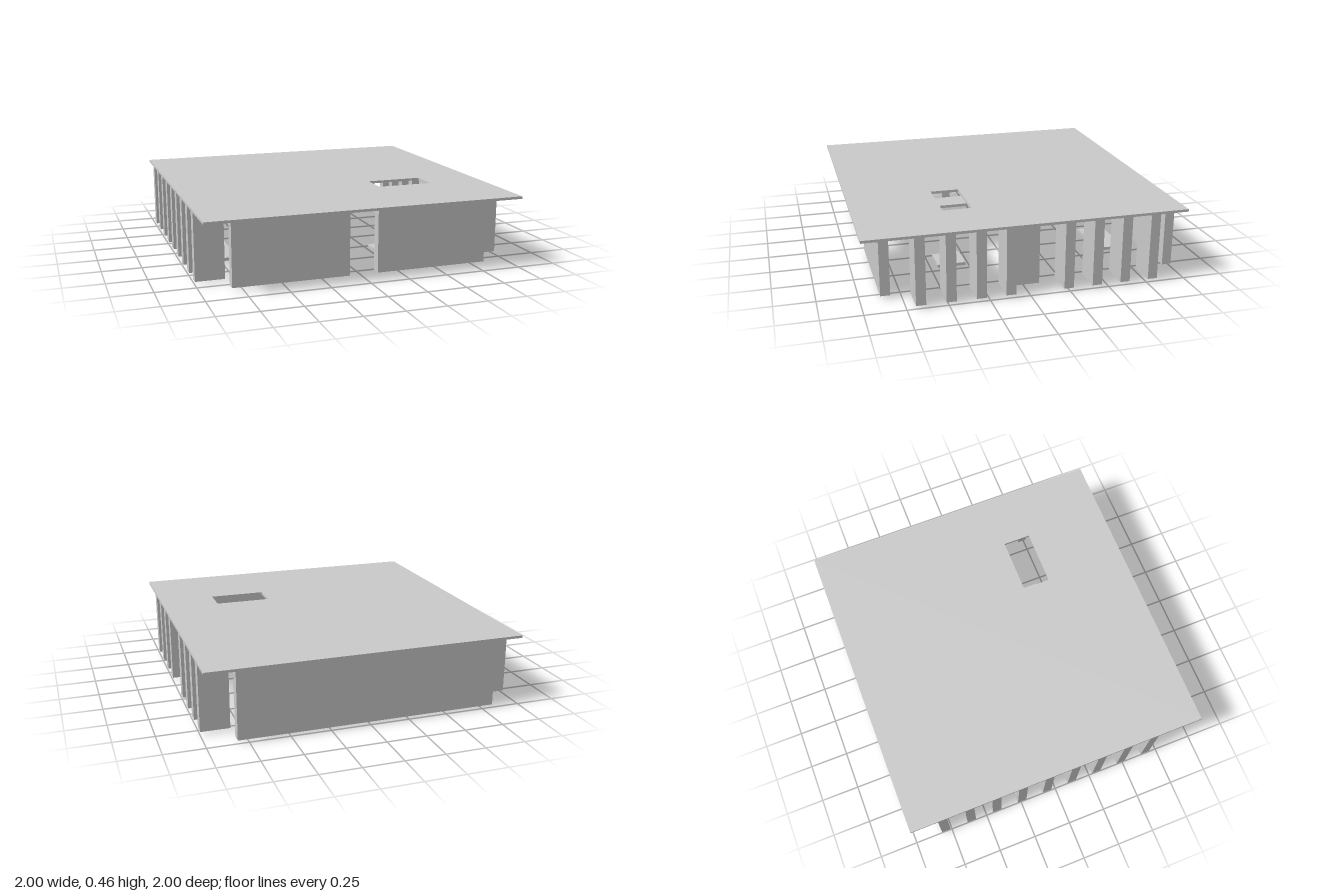
import * as THREE from 'three';

// The plan sits on an 11 x 11 grid of square cells
const CELL = 2 / 11;
const THICK = CELL / 3;
const FLOOR_TOP = 0.02;
const ROOF_BOTTOM = 0.441;
const ROOF_TOP = 0.457;

const grid = (i) => -1 + i * CELL;

export function createModel() {
  const model = new THREE.Group();
  const material = new THREE.MeshStandardMaterial({ color: 0xcccccc });

  // Box given by its plan limits and heights
  function block(name, x0, x1, z0, z1, y0, y1) {
    const mesh = new THREE.Mesh(new THREE.BoxGeometry(x1 - x0, y1 - y0, z1 - z0), material);
    mesh.position.set((x0 + x1) / 2, (y0 + y1) / 2, (z0 + z1) / 2);
    mesh.name = name;
    model.add(mesh);
  }
  const wall = (name, x0, x1, z0, z1) => block(name, x0, x1, z0, z1, FLOOR_TOP, ROOF_BOTTOM);

  // Flat roof with a rectangular skylight
  const outline = new THREE.Shape();
  outline.moveTo(-1, -1).lineTo(1, -1).lineTo(1, 1).lineTo(-1, 1).closePath();
  const [hx0, hx1, hz0, hz1] = [grid(7), grid(9), grid(7), grid(8)];
  const skylight = new THREE.Path();
  skylight.moveTo(hx0, -hz0).lineTo(hx1, -hz0).lineTo(hx1, -hz1).lineTo(hx0, -hz1).closePath();
  outline.holes.push(skylight);
  const roofGeometry = new THREE.ExtrudeGeometry(outline, {
    depth: ROOF_TOP - ROOF_BOTTOM,
    bevelEnabled: false,
  });
  roofGeometry.rotateX(-Math.PI / 2).translate(0, ROOF_BOTTOM, 0);
  const roof = new THREE.Mesh(roofGeometry, material);
  roof.name = 'roof';
  model.add(roof);

  // Long back wall and two front walls with an entrance between them
  wall('backWall', grid(1), grid(10), -1, -1 + THICK);
  wall('frontWallRight', grid(1), grid(5), grid(10), grid(10) + THICK);
  wall('frontWallLeft', grid(6), grid(10), grid(10), grid(10) + THICK);

  // Rows of side fins; one on the left is replaced by a recessed panel
  for (let i = 1; i <= 9; i++) {
    wall('rightFin', -1, grid(1), grid(i), grid(i) + THICK);
    if (i !== 5) wall('leftFin', grid(10), 1, grid(i), grid(i) + THICK);
  }
  wall('leftPanel', grid(10), grid(10) + THICK, grid(5), grid(6));

  // Low floor slabs, as grid limits in x and z
  const slabs = [
    [6, 8, 1, 2],
    [3, 5, 1, 2],
    [1, 2, 3, 7],
    [7, 8, 7, 8],
  ];
  for (const [x0, x1, z0, z1] of slabs) {
    block('floorSlab', grid(x0), grid(x1), grid(z0), grid(z1), 0, FLOOR_TOP);
  }

  return model;
}
